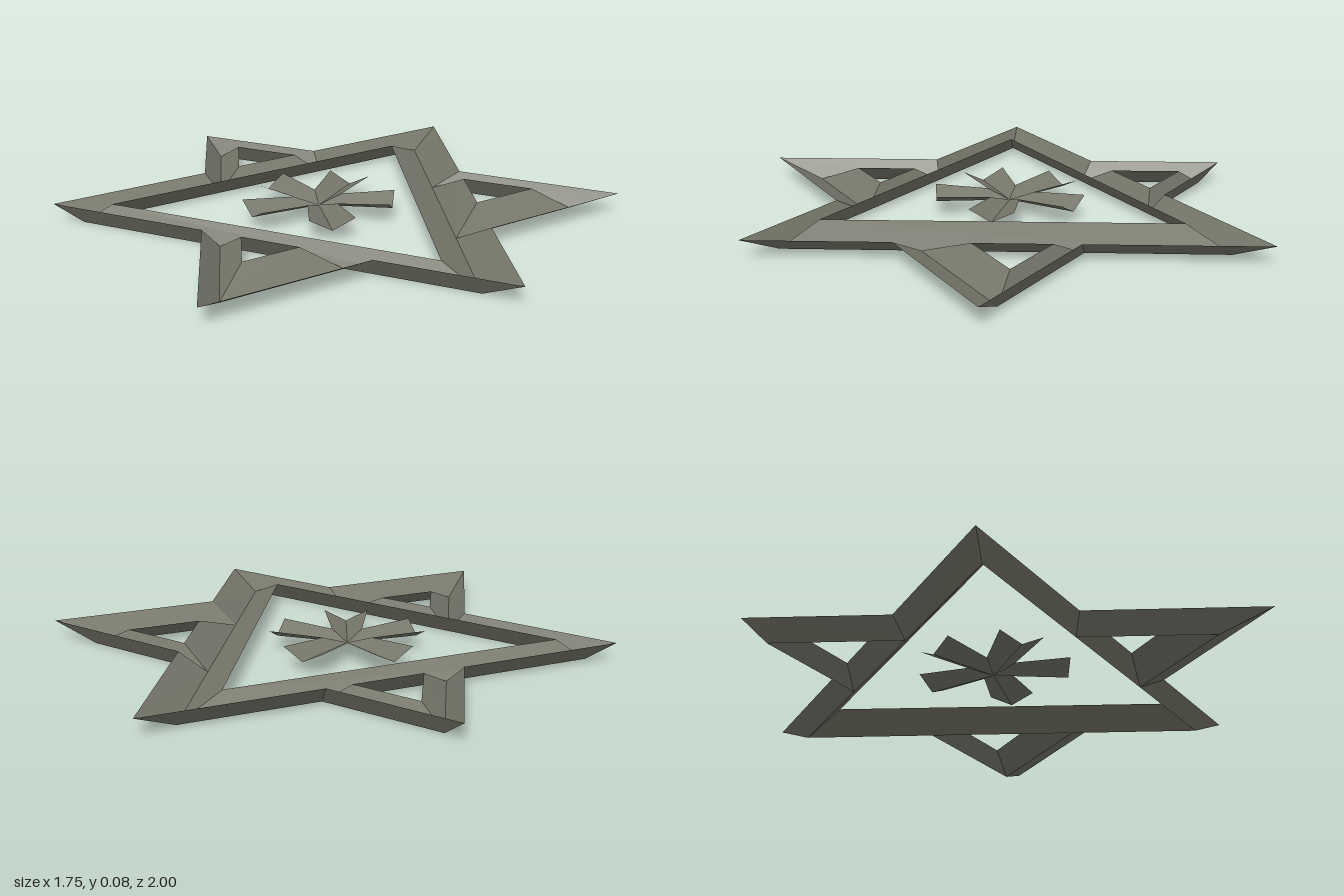
import * as THREE from 'three';

const TOP = 0.065; // height of the frame's rims; its fold line lies on y = 0
const pt = (x, z, y) => new THREE.Vector3(x, y, z);

// Triangle outlines, listed from the outer rim to the fold line to the inner rim
const outline = (corners, y) => corners.map(([x, z]) => pt(x, z, y));
const MAIN = [
  outline([[-0.03, -1], [0.818, 0.467], [-0.875, 0.467]], TOP),
  outline([[-0.053, -0.845], [0.675, 0.427], [-0.78, 0.427]], 0),
  outline([[-0.083, -0.667], [0.524, 0.382], [-0.69, 0.382]], TOP),
];
const SECOND = [
  outline([[0.872, -0.473], [0.026, 1], [-0.82, -0.473]], TOP),
  outline([[0.708, -0.433], [-0.009, 0.82], [-0.733, -0.433]], 0),
  outline([[0.578, -0.395], [-0.026, 0.65], [-0.628, -0.395]], TOP),
];

// Crossing of lines a-b and c-d in plan, at the height of a
function cross(a, b, c, d) {
  const ux = b.x - a.x, uz = b.z - a.z, vx = d.x - c.x, vz = d.z - c.z;
  const t = ((c.x - a.x) * vz - (c.z - a.z) * vx) / (ux * vz - uz * vx);
  return pt(a.x + ux * t, a.z + uz * t, a.y);
}

// Flat-shaded sheet from convex polygons, all turned to face upwards
function sheet(name, polygons, material) {
  const pos = [];
  for (const p of polygons) {
    for (let i = 1; i < p.length - 1; i++) {
      const t = [p[0], p[i], p[i + 1]];
      const n = t[1].clone().sub(t[0]).cross(t[2].clone().sub(t[0]));
      if (n.y < 0) t.reverse();
      t.forEach((v) => pos.push(v.x, v.y, v.z));
    }
  }
  const geo = new THREE.BufferGeometry();
  geo.setAttribute('position', new THREE.Float32BufferAttribute(pos, 3));
  geo.computeVertexNormals();
  const mesh = new THREE.Mesh(geo, material);
  mesh.name = name;
  return mesh;
}

export function createModel() {
  const group = new THREE.Group();
  group.name = 'starOrnament';
  const stone = new THREE.MeshStandardMaterial({ color: 0x77776b, side: THREE.DoubleSide });
  stone.name = 'warmGrey';

  // Folded channel frame, with a folded point opening into each side
  const frame = [];
  const [out, mid, inn] = MAIN;
  const [tipOut, tipMid, tipInn] = SECOND;
  for (let k = 0; k < 3; k++) {
    const n = (k + 1) % 3, p = (k + 2) % 3;
    const tip = [];

    // Where the two arms of the point (first p, then n) meet this side
    const [a, b] = [p, n].map((e) => ({
      o: cross(out[k], out[n], tipOut[k], tipOut[e]),
      m: cross(mid[k], mid[n], tipMid[k], tipMid[e]),
      i: cross(out[k], out[n], tipInn[k], tipInn[e]),
    }));

    // Inner wall, then outer wall in three pieces between the arms
    frame.push(
      [mid[k], mid[n], inn[n], inn[k]],
      [out[k], mid[k], a.m, a.o],
      [a.i, a.m, b.m, b.i],
      [b.o, b.m, mid[n], out[n]],
    );

    // Two arms of the point
    for (const j of [a, b]) {
      tip.push([tipOut[k], tipMid[k], j.m, j.o], [tipMid[k], tipInn[k], j.i, j.m]);
    }
    group.add(sheet(['rightHandPoint', 'frontPoint', 'leftHandPoint'][k], tip, stone));
  }
  group.add(sheet('triangleFrame', frame, stone));

  // Flower of five folded petals
  const petals = [];
  for (let k = 0; k < 5; k++) {
    const angle = (k * 2 * Math.PI) / 5;
    const c = Math.cos(angle), s = Math.sin(angle);
    const at = (r, w, y) => pt(-0.075 + r * s + w * c, 0.01 - r * c + w * s, y);
    for (const side of [-1, 1]) {
      petals.push([
        at(0, 0, 0.035),
        at(0.26, 0, 0.035),
        at(0.26, side * 0.079, 0.075),
        at(0.073, side * 0.053, 0.062),
      ]);
    }
  }
  group.add(sheet('flower', petals, stone));

  return group;
}
